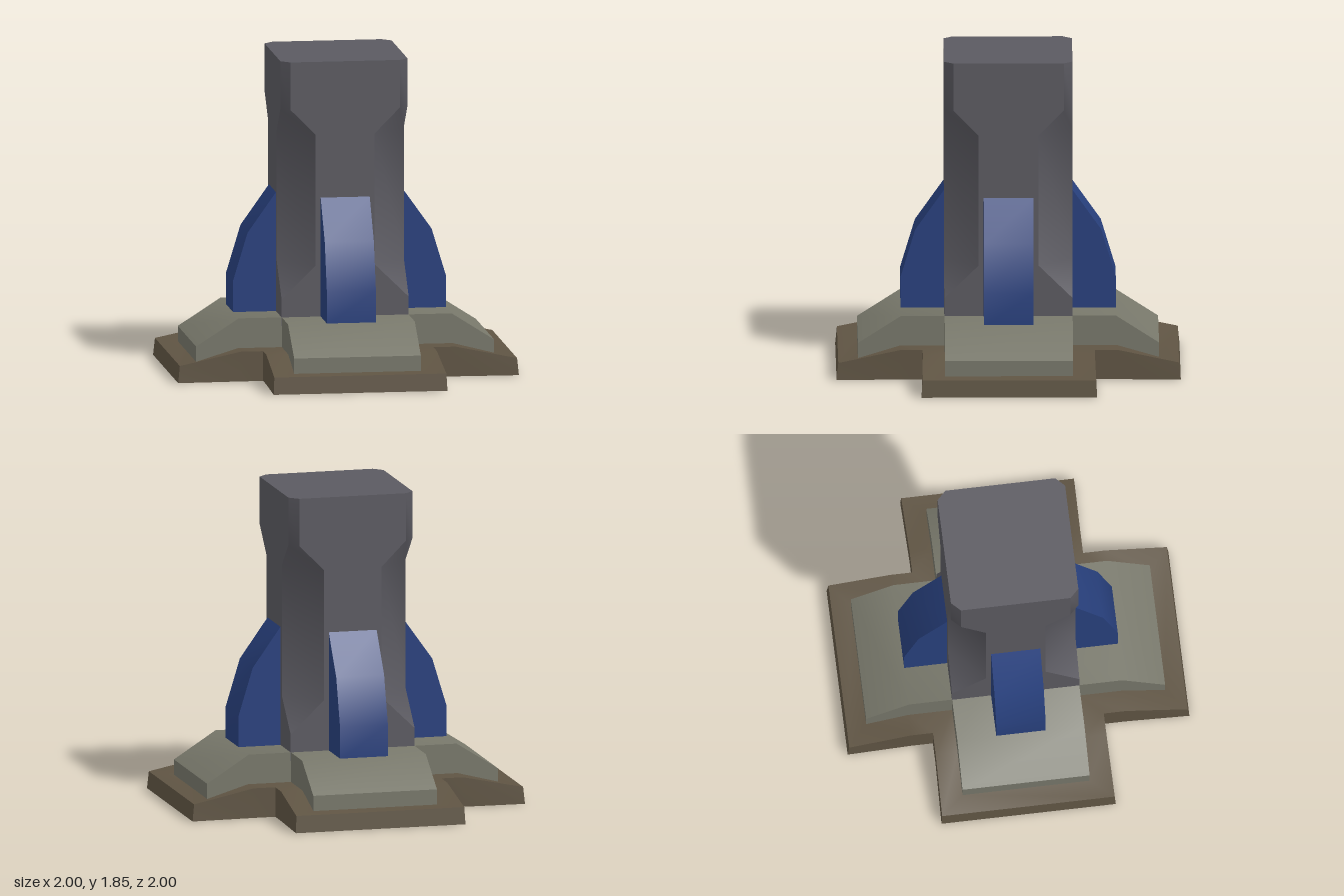
import * as THREE from 'three';
import { toCreasedNormals } from 'three/addons/utils/BufferGeometryUtils.js';

const CREASE = 0.7; // shallow bends stay smooth, sharper ones become edges
const material = (color) => new THREE.MeshStandardMaterial({ color });
const stone = material(0x5b5a61);
const plinthStone = material(0x77776a);
const earth = material(0x5f5443);
const blue = material(0x28407d);

// Repeats one quarter of a ring of [x, y, z] points around the y axis
function ring(quarter) {
  const points = [];
  for (let k = 0; k < 4; k++) {
    const c = [1, 0, -1, 0][k], s = [0, 1, 0, -1][k];
    for (const [x, y, z] of quarter) points.push(new THREE.Vector3(x * c - z * s, y, x * s + z * c));
  }
  return points;
}

// Skins a list of rings, skipping triangles that collapse to nothing
function loft(rings) {
  const positions = [];
  const triangle = (a, b, c) => {
    if (new THREE.Triangle(a, b, c).getArea() < 1e-7) return;
    for (const p of [a, b, c]) positions.push(p.x, p.y, p.z);
  };
  for (let r = 0; r + 1 < rings.length; r++) {
    const lower = rings[r], upper = rings[r + 1], n = lower.length;
    for (let i = 0; i < n; i++) {
      const j = (i + 1) % n;
      triangle(lower[i], upper[i], upper[j]);
      triangle(lower[i], upper[j], lower[j]);
    }
  }
  const geometry = new THREE.BufferGeometry();
  geometry.setAttribute('position', new THREE.Float32BufferAttribute(positions, 3));
  return toCreasedNormals(geometry, CREASE);
}

// Extrudes a side profile (x, y) to a width centred on z = 0
function slab(profile, width) {
  const shape = new THREE.Shape(profile.map(([x, y]) => new THREE.Vector2(x, y)));
  const geometry = new THREE.ExtrudeGeometry(shape, { depth: width, bevelEnabled: false });
  geometry.translate(0, 0, -width / 2);
  return toCreasedNormals(geometry, CREASE);
}

function add(parent, name, geometry, mat) {
  const mesh = new THREE.Mesh(geometry, mat);
  mesh.name = name;
  parent.add(mesh);
  return mesh;
}

export function createModel() {
  const model = new THREE.Group();
  model.name = 'crossBasedTower';

  // Cross-shaped foundation with a rim that rises towards the inner corners
  const underside = ring([[0.63, 0, -0.37], [0.875, 0, -0.37], [0.875, 0, 0.37], [0.63, 0, 0.37], [0.37, 0, 0.37]]);
  const footprint = ring([[0.63, 0, -0.5], [1, 0, -0.51], [1, 0, 0.51], [0.63, 0, 0.5], [0.5, 0, 0.5]]);
  const outerRim = ring([[0.63, 0.175, -0.5], [0.99, 0.1, -0.505], [0.99, 0.1, 0.505], [0.63, 0.175, 0.5], [0.5, 0.175, 0.5]]);
  const innerRim = ring([[0.63, 0.175, -0.37], [0.875, 0.1, -0.37], [0.875, 0.1, 0.37], [0.63, 0.175, 0.37], [0.37, 0.175, 0.37]]);
  add(model, 'foundation', loft([underside, footprint, outerRim, innerRim]), earth);

  // Dark panel closing the underside
  const centre = underside.map(() => new THREE.Vector3());
  add(model, 'undersidePanel', loft([centre, underside]), stone);

  // Two crossing plinth beams with sloped ends
  const beam = slab([
    [-0.875, 0.08], [0.875, 0.08], [0.875, 0.19], [0.625, 0.35], [-0.625, 0.35], [-0.875, 0.19],
  ], 0.744);
  for (let k = 0; k < 2; k++) add(model, 'plinthBeam', beam, plinthStone).rotation.y = k * Math.PI / 2;

  // Square tower: [height, corner cut] at each level
  const h = 0.373;
  const levels = [[0.3, 0], [0.455, 0], [0.65, 0.2], [1.42, 0.2], [1.57, 0.052], [1.85, 0.052]];
  const sections = levels.map(([y, cut]) => ring([[h, y, h - cut], [h - cut, y, h]]));
  sections.push(sections[0].map(() => new THREE.Vector3(0, 1.85, 0)));
  add(model, 'tower', loft(sections), stone);

  // Buttress on each side of the tower
  const buttress = slab([
    [0.36, 0.34], [0.625, 0.34], [0.625, 0.535], [0.54, 0.815], [0.373, 1.05], [0.36, 1.05],
  ], 0.288);
  for (let k = 0; k < 4; k++) add(model, 'buttress', buttress, blue).rotation.y = k * Math.PI / 2;

  return model;
}
